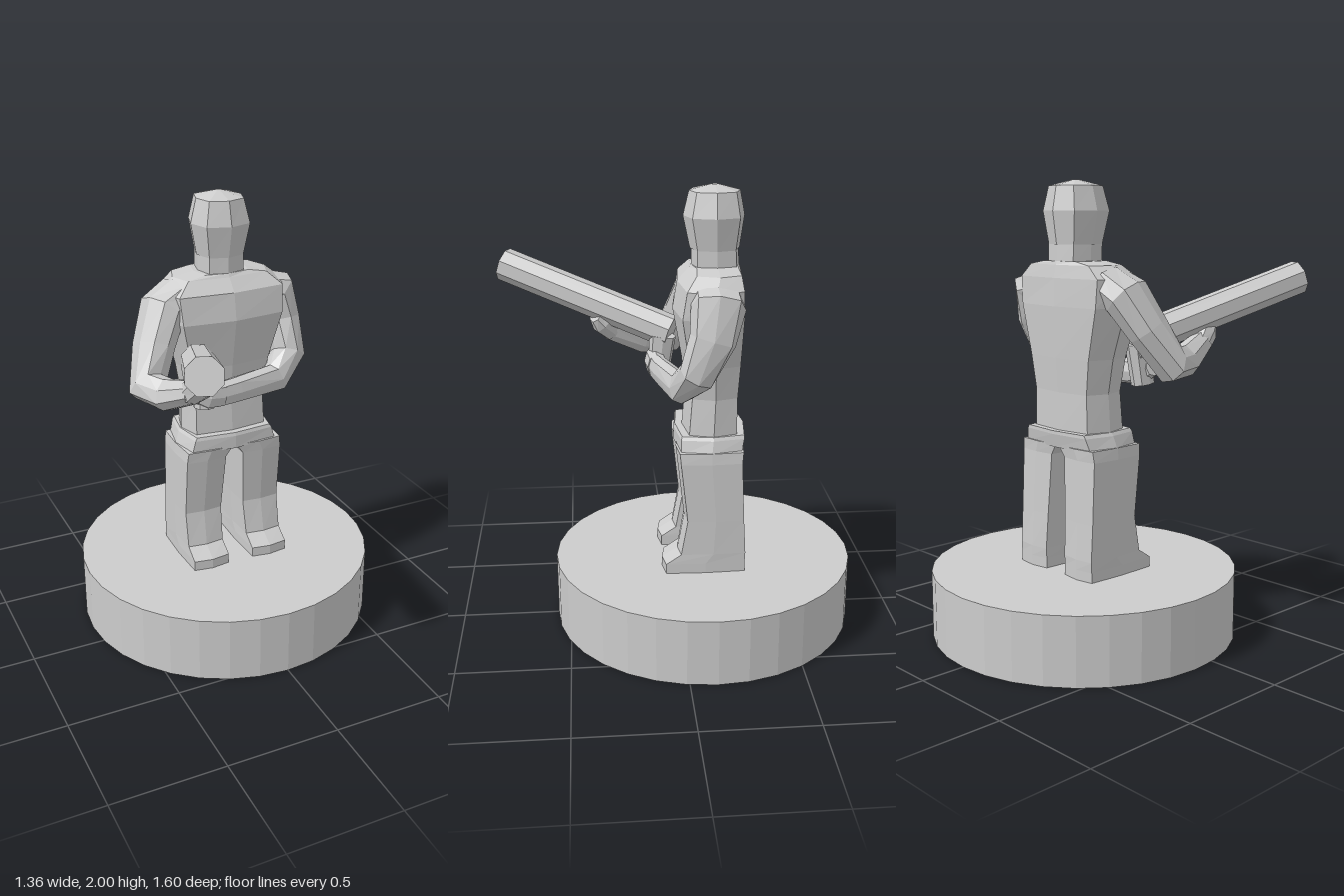
import * as THREE from 'three';

const grey = new THREE.MeshStandardMaterial({ color: 0xcccccc });
grey.name = 'grey';
grey.flatShading = true;

const V = (x, y, z) => new THREE.Vector3(x, y, z);

function mesh(name, geometry) {
  const m = new THREE.Mesh(geometry, grey);
  m.name = name;
  return m;
}

// Eight-sided ring around c, spanned by u and v; d sets how square the corners are
function ring(c, u, v, d) {
  const s = [[1, 0], [d, d], [0, 1], [-d, d], [-1, 0], [-d, -d], [0, -1], [d, -d]];
  return s.map(([a, b]) => c.clone().addScaledVector(u, a).addScaledVector(v, b));
}

// Skin a list of rings and close both ends
function loft(name, rings) {
  const n = rings[0].length, pos = [], idx = [];
  rings.forEach(r => r.forEach(p => pos.push(p.x, p.y, p.z)));
  for (let i = 0; i < rings.length - 1; i++) {
    for (let j = 0; j < n; j++) {
      const a = i * n + j, b = i * n + (j + 1) % n;
      idx.push(a, b, b + n, a, b + n, a + n);
    }
  }
  const e = (rings.length - 1) * n;
  for (let j = 1; j < n - 1; j++) idx.push(0, j + 1, j, e, e + j, e + j + 1);
  const g = new THREE.BufferGeometry();
  g.setAttribute('position', new THREE.Float32BufferAttribute(pos, 3));
  g.setIndex(idx);
  const flat = g.toNonIndexed();
  flat.computeVertexNormals();
  return mesh(name, flat);
}

// Upright body part from rows of [y, xMin, xMax, zFront, zBack]
function upright(name, rows, d) {
  return loft(name, rows.map(([y, x0, x1, zf, zb]) =>
    ring(V((x0 + x1) / 2, y, (zf + zb) / 2), V(0, 0, (zf - zb) / 2), V((x1 - x0) / 2, 0, 0), d)));
}

// Limb along a path of [x, y, z, radius in the bend, radius across it]
function limb(name, path, across) {
  const pts = path.map(p => V(p[0], p[1], p[2]));
  const dir = (a, b) => pts[b].clone().sub(pts[a]).normalize();
  const last = pts.length - 1;
  return loft(name, pts.map((c, i) => {
    const t = V(0, 0, 0);
    if (i > 0) t.add(dir(i - 1, i));
    if (i < last) t.add(dir(i, i + 1));
    t.normalize();
    const u = across.clone().cross(t).normalize();
    const v = t.clone().cross(u);
    return ring(c, u.multiplyScalar(path[i][3]), v.multiplyScalar(path[i][4]), 0.76);
  }));
}

export function createModel() {
  const model = new THREE.Group();
  model.name = 'figureOnBase';

  // Round base
  const base = mesh('base', new THREE.CylinderGeometry(0.68, 0.68, 0.3, 32));
  base.position.set(0, 0.15, -0.12);
  model.add(base);

  // Legs with feet, mirrored
  for (const [name, s] of [['leftLeg', 1], ['rightLeg', -1]]) {
    const rows = [
      [0.30, 0.055, 0.24, 0.08, -0.30],
      [0.345, 0.055, 0.24, 0.08, -0.30],
      [0.39, 0.055, 0.24, 0.01, -0.30],
      [0.55, 0.05, 0.24, -0.02, -0.29],
      [0.82, 0.035, 0.24, 0.01, -0.28],
      [0.87, 0, 0.235, 0.015, -0.285],
    ];
    model.add(upright(name, rows.map(([y, a, b, f, k]) =>
      [y, Math.min(a * s, b * s), Math.max(a * s, b * s), f, k]), 0.93));
  }

  // Hips
  model.add(upright('hips', [
    [0.86, -0.235, 0.235, 0.015, -0.285],
    [0.92, -0.215, 0.215, 0.015, -0.30],
    [0.935, -0.205, 0.205, 0.01, -0.30],
  ], 0.88));

  // Torso
  model.add(upright('torso', [
    [0.92, -0.20, 0.20, -0.02, -0.27],
    [1.10, -0.195, 0.195, -0.035, -0.27],
    [1.25, -0.22, 0.22, -0.02, -0.28],
    [1.47, -0.28, 0.28, 0.02, -0.29],
    [1.59, -0.29, 0.29, 0.0, -0.285],
    [1.645, -0.22, 0.22, -0.05, -0.275],
    [1.66, -0.12, 0.12, -0.06, -0.27],
  ], 0.84));

  // Neck and head
  model.add(upright('neck', [
    [1.64, -0.10, 0.10, -0.06, -0.27],
    [1.74, -0.10, 0.10, -0.06, -0.265],
  ], 0.8));
  model.add(upright('head', [
    [1.73, -0.105, 0.105, -0.055, -0.27],
    [1.87, -0.132, 0.132, -0.025, -0.29],
    [1.975, -0.105, 0.105, -0.05, -0.27],
    [2.0, -0.015, 0.015, -0.145, -0.175],
  ], 0.76));

  // Left arm, folded across the waist
  model.add(limb('leftArm', [
    [0.15, 1.55, -0.15, 0.09, 0.11],
    [0.27, 1.53, -0.15, 0.09, 0.115],
    [0.295, 1.40, -0.125, 0.068, 0.10],
    [0.293, 1.25, -0.06, 0.07, 0.08],
    [0.20, 1.165, 0.0, 0.068, 0.055],
    [-0.02, 1.17, 0.06, 0.058, 0.045],
    [-0.13, 1.17, 0.085, 0.055, 0.04],
  ], V(0, 0, 1)));

  // Right arm, reaching forward
  model.add(limb('rightArm', [
    [-0.19, 1.57, -0.15, 0.11, 0.08],
    [-0.28, 1.52, -0.13, 0.115, 0.085],
    [-0.35, 1.38, -0.07, 0.10, 0.075],
    [-0.41, 1.235, 0.01, 0.085, 0.075],
    [-0.37, 1.235, 0.13, 0.07, 0.062],
    [-0.32, 1.30, 0.29, 0.05, 0.05],
  ], V(-0.85, 0.5, 0.15)));

  // Long barrel held at the waist, pointing forward and up
  const rear = V(-0.18, 1.31, 0.01), muzzle = V(-0.48, 1.575, 0.77);
  const aim = muzzle.clone().sub(rear);
  const barrelGeometry = new THREE.CylinderGeometry(0.077, 0.077, aim.length(), 8);
  barrelGeometry.rotateY(Math.PI / 8).rotateX(Math.PI / 2);
  const barrel = mesh('barrel', barrelGeometry);
  barrel.position.copy(rear).add(muzzle).multiplyScalar(0.5);
  barrel.lookAt(muzzle);
  model.add(barrel);

  // Grip below the rear end, and the two hands
  model.add(limb('grip', [
    [-0.17, 1.30, 0.05, 0.06, 0.05],
    [-0.18, 1.12, 0.07, 0.05, 0.045],
  ], V(1, 0, 0)));
  model.add(limb('leftHand', [
    [-0.10, 1.17, 0.08, 0.055, 0.045],
    [-0.17, 1.18, 0.09, 0.06, 0.045],
    [-0.23, 1.20, 0.08, 0.04, 0.035],
  ], V(0, 0, 1)));
  model.add(limb('rightHand', [
    [-0.325, 1.285, 0.27, 0.05, 0.05],
    [-0.30, 1.335, 0.32, 0.055, 0.065],
    [-0.29, 1.37, 0.35, 0.035, 0.06],
  ], V(-1, 0, 0)));

  return model;
}
